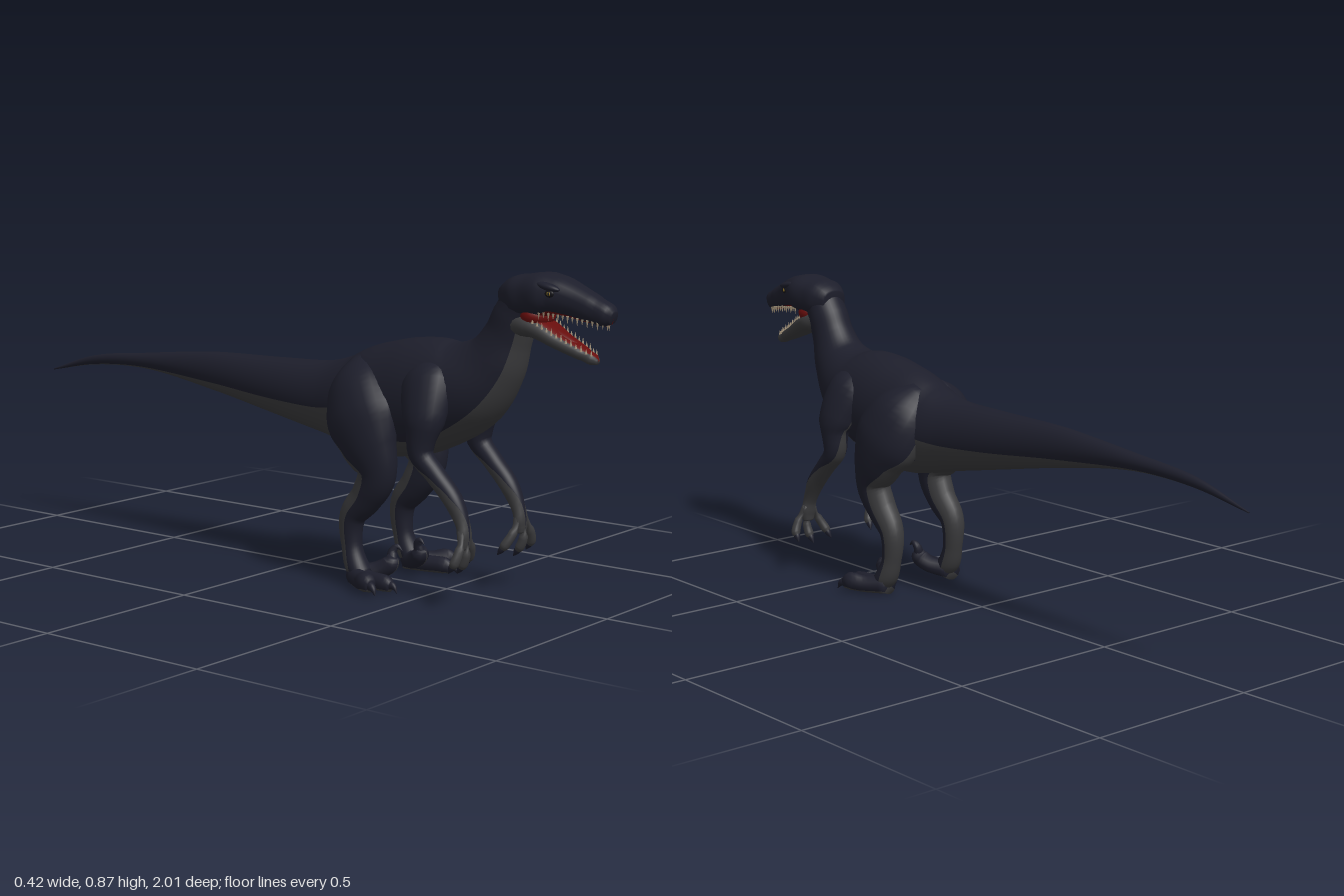
import * as THREE from 'three';

const mat = (name, color) => {
  const m = new THREE.MeshStandardMaterial({ color });
  m.name = name;
  return m;
};

// Smooth tube through rows [x, y, z, halfWidth, halfHeight, patchHalfAngle].
// The patch is a strip of a second colour along the bottom (dir -1) or top (dir 1).
function loft(rows, { steps = 5, dir = -1, power = 1, main = 18, patch = 10 } = {}) {
  const path = new THREE.CatmullRomCurve3(rows.map(r => new THREE.Vector3(r[0], r[1], r[2])));
  const size = new THREE.CatmullRomCurve3(rows.map(r => new THREE.Vector3(r[3], r[4], (r[5] ?? 50) / 100)));
  const n = (rows.length - 1) * steps, cols = main + patch;
  const pos = [], mainIdx = [], patchIdx = [];
  const bend = v => Math.sign(v) * Math.abs(v) ** power;
  for (let i = 0; i <= n; i++) {
    const t = i / n, p = path.getPoint(t), s = size.getPoint(t), T = path.getTangent(t);
    const side = new THREE.Vector3(1, 0, 0).addScaledVector(T, -T.x).normalize();
    const up = T.clone().cross(side);
    const half = THREE.MathUtils.degToRad(THREE.MathUtils.clamp(s.z * 100, 2, 178));
    for (let j = 0; j < cols; j++) {
      const a = dir * Math.PI / 2 + (j <= patch
        ? -half + 2 * half * j / patch
        : half + (2 * Math.PI - 2 * half) * (j - patch) / main);
      const v = p.clone()
        .addScaledVector(side, bend(Math.cos(a)) * Math.max(s.x, 0.001))
        .addScaledVector(up, bend(Math.sin(a)) * Math.max(s.y, 0.001));
      pos.push(v.x, v.y, v.z);
    }
  }
  for (let i = 0; i < n; i++) for (let j = 0; j < cols; j++) {
    const k = (j + 1) % cols, a = i * cols + j, b = i * cols + k, c = b + cols, d = a + cols;
    (j < patch ? patchIdx : mainIdx).push(a, b, c, a, c, d);
  }
  // end caps
  const first = pos.length / 3;
  [path.getPoint(0), path.getPoint(1)].forEach(p => pos.push(p.x, p.y, p.z));
  for (let j = 0; j < cols; j++) {
    const k = (j + 1) % cols, list = j < patch ? patchIdx : mainIdx;
    list.push(first, k, j, first + 1, n * cols + j, n * cols + k);
  }
  const g = new THREE.BufferGeometry();
  g.setAttribute('position', new THREE.Float32BufferAttribute(pos, 3));
  g.setIndex([...mainIdx, ...patchIdx]);
  g.addGroup(0, mainIdx.length, 0);
  g.addGroup(mainIdx.length, patchIdx.length, 1);
  g.computeVertexNormals();
  return g;
}

export function createModel() {
  const model = new THREE.Group();
  const hide = mat('navy hide', 0x1d1e2b), belly = mat('grey underside', 0x3a3a3c);
  const red = mat('mouth red', 0x660d0c), ivory = mat('tooth ivory', 0xa09078);
  const amber = mat('eye amber', 0x8f7424), black = mat('dark socket', 0x131318);

  const add = (name, geo, material, parent = model) => {
    const m = new THREE.Mesh(geo, material);
    m.name = name;
    parent.add(m);
    return m;
  };
  const ball = (name, material, p, s, parent) => {
    const m = add(name, new THREE.SphereGeometry(1, 20, 14), material, parent);
    m.position.set(...p);
    m.scale.set(...s);
    return m;
  };

  // tail, trunk and neck in one sweep
  add('body', loft([
    [0, 0.465, -1, 0.002, 0.002, 20], [0, 0.509, -0.82, 0.012, 0.014, 30],
    [0, 0.525, -0.61, 0.022, 0.023, 42], [0, 0.52, -0.34, 0.042, 0.055, 60],
    [0, 0.498, -0.07, 0.07, 0.083, 72], [0, 0.485, 0.1, 0.088, 0.103, 80],
    [0, 0.485, 0.2, 0.105, 0.127, 86], [0, 0.5, 0.32, 0.12, 0.156, 52],
    [0, 0.528, 0.45, 0.124, 0.154, 42], [0, 0.565, 0.57, 0.11, 0.124, 48],
    [0, 0.628, 0.645, 0.08, 0.09, 48], [0, 0.7, 0.685, 0.061, 0.067, 48],
    [0, 0.755, 0.708, 0.059, 0.061, 50], [0, 0.805, 0.735, 0.057, 0.057, 30],
  ], { steps: 6, main: 26, patch: 16 }), [hide, belly]);

  // head: skull with palate, lower jaw with mouth floor
  const head = new THREE.Group();
  head.name = 'head';
  model.add(head);
  add('skull', loft([
    [0, 0.8, 0.68, 0.04, 0.035, 4], [0, 0.806, 0.71, 0.058, 0.05, 4],
    [0, 0.813, 0.76, 0.068, 0.055, 15], [0, 0.819, 0.83, 0.066, 0.051, 42],
    [0, 0.808, 0.88, 0.052, 0.044, 42], [0, 0.789, 0.94, 0.041, 0.036, 38],
    [0, 0.775, 0.985, 0.031, 0.028, 15], [0, 0.77, 1, 0.016, 0.016, 4],
  ], { power: 0.82 }), [hide, red], head);
  add('lowerJaw', loft([
    [0, 0.74, 0.71, 0.052, 0.034, 10], [0, 0.732, 0.78, 0.057, 0.028, 40],
    [0, 0.7, 0.85, 0.044, 0.021, 44], [0, 0.675, 0.91, 0.03, 0.017, 44],
    [0, 0.661, 0.943, 0.021, 0.014, 30], [0, 0.655, 0.957, 0.008, 0.006, 10],
  ], { dir: 1, power: 0.85 }), [belly, red], head);
  ball('mouthLining', red, [0, 0.762, 0.775], [0.056, 0.034, 0.042], head);
  ball('tongue', red, [0, 0.716, 0.85], [0.02, 0.01, 0.06], head).rotation.x = 0.43;

  // rows of teeth, following a curve along each jaw
  const toothRow = (name, pts, sx, count, length, sign) => {
    const curve = new THREE.CatmullRomCurve3(pts.map(p => new THREE.Vector3(p[0] * sx, p[1], p[2])));
    for (let i = 0; i < count; i++) {
      const l = length * (i % 2 ? 0.8 : 1.1);
      const m = add(name, new THREE.ConeGeometry(0.004, l, 6), ivory, head);
      m.position.copy(curve.getPointAt(i / (count - 1)));
      m.position.y += sign * l * 0.4;
      if (sign < 0) m.rotation.x = Math.PI;
    }
  };

  for (const sx of [1, -1]) {
    const sideName = sx > 0 ? 'left' : 'right';
    const flip = rows => rows.map(r => [r[0] * sx, ...r.slice(1)]);
    const limb = (name, rows, mats, parent, opt) => add(name, loft(flip(rows), opt), mats, parent);
    const small = { steps: 4, main: 8, patch: 6 };

    toothRow('upperTooth', [[0.05, 0.776, 0.81], [0.042, 0.77, 0.88], [0.033, 0.762, 0.94],
      [0.021, 0.756, 0.972], [0.004, 0.755, 0.984]], sx, 15, 0.02, -1);
    toothRow('lowerTooth', [[0.048, 0.747, 0.79], [0.036, 0.713, 0.855], [0.024, 0.687, 0.912],
      [0.013, 0.671, 0.944]], sx, 13, 0.017, 1);

    // eye in its socket, brow and nostril
    ball('eyeSocket', black, [sx * 0.06, 0.826, 0.846], [0.006, 0.01, 0.014], head);
    ball('eye', amber, [sx * 0.0625, 0.826, 0.847], [0.005, 0.006, 0.007], head);
    ball('pupil', black, [sx * 0.0665, 0.826, 0.848], [0.002, 0.005, 0.002], head);
    ball('brow', hide, [sx * 0.055, 0.843, 0.838], [0.015, 0.01, 0.036], head).rotation.x = 0.2;
    ball('nostril', black, [sx * 0.028, 0.789, 0.979], [0.004, 0.003, 0.006], head);

    // hind leg
    const leg = new THREE.Group();
    leg.name = sideName + 'Leg';
    model.add(leg);
    limb('thighAndShin', [
      [0.03, 0.605, 0.23, 0.025, 0.035, 3], [0.066, 0.545, 0.255, 0.07, 0.09, 3],
      [0.1, 0.47, 0.288, 0.074, 0.114, 12], [0.117, 0.395, 0.322, 0.058, 0.09, 38],
      [0.115, 0.315, 0.348, 0.044, 0.058, 70], [0.112, 0.25, 0.315, 0.04, 0.047, 85],
      [0.114, 0.19, 0.267, 0.034, 0.037, 90], [0.115, 0.12, 0.264, 0.029, 0.03, 90],
      [0.118, 0.06, 0.282, 0.033, 0.032, 85], [0.12, 0.028, 0.31, 0.034, 0.027, 50],
    ], [hide, belly], leg);
    limb('middleToe', [[0.118, 0.03, 0.275, 0.027, 0.029], [0.128, 0.025, 0.34, 0.025, 0.024],
      [0.135, 0.025, 0.395, 0.022, 0.023], [0.138, 0.018, 0.415, 0.013, 0.015]], [hide, belly], leg, small);
    limb('outerToe', [[0.125, 0.03, 0.285, 0.027, 0.028], [0.162, 0.028, 0.335, 0.024, 0.025],
      [0.184, 0.033, 0.368, 0.025, 0.027], [0.194, 0.026, 0.39, 0.014, 0.017]], [hide, belly], leg, small);
    limb('innerToe', [[0.11, 0.032, 0.29, 0.025, 0.026, 5], [0.084, 0.042, 0.33, 0.025, 0.025, 5],
      [0.068, 0.062, 0.36, 0.026, 0.025, 5], [0.063, 0.082, 0.368, 0.016, 0.017, 5]], [hide, belly], leg, small);
    limb('middleClaw', [[0.136, 0.024, 0.405, 0.012, 0.014], [0.139, 0.022, 0.425, 0.008, 0.009],
      [0.141, 0.006, 0.437, 0.001, 0.001]], [hide, hide], leg, small);
    limb('outerClaw', [[0.19, 0.03, 0.38, 0.013, 0.015], [0.198, 0.024, 0.4, 0.009, 0.01],
      [0.202, 0.006, 0.412, 0.001, 0.001]], [hide, hide], leg, small);
    limb('sickleClaw', [[0.065, 0.07, 0.363, 0.016, 0.016], [0.057, 0.095, 0.36, 0.012, 0.012],
      [0.052, 0.108, 0.372, 0.008, 0.008], [0.05, 0.098, 0.387, 0.001, 0.001]], [hide, hide], leg, small);

    // arm and three-fingered hand
    const arm = new THREE.Group();
    arm.name = sideName + 'Arm';
    model.add(arm);
    limb('upperArmAndForearm', [
      [0.04, 0.625, 0.475, 0.025, 0.03, 3], [0.082, 0.565, 0.493, 0.058, 0.08, 3],
      [0.127, 0.47, 0.51, 0.046, 0.06, 3], [0.134, 0.39, 0.508, 0.032, 0.035, 35],
      [0.132, 0.34, 0.553, 0.029, 0.027, 80], [0.13, 0.28, 0.608, 0.027, 0.026, 115],
      [0.13, 0.215, 0.642, 0.021, 0.018, 168], [0.132, 0.175, 0.648, 0.024, 0.014, 178],
      [0.132, 0.155, 0.648, 0.018, 0.011, 178],
    ], [hide, belly], arm);
    const fingers = [
      ['outer', [0.142, 0.2, 0.645], [0.163, 0.16, 0.655], [0.178, 0.125, 0.65], [0.181, 0.097, 0.632]],
      ['middle', [0.132, 0.18, 0.648], [0.134, 0.145, 0.655], [0.133, 0.115, 0.645], [0.131, 0.087, 0.625]],
      ['inner', [0.121, 0.2, 0.645], [0.1, 0.16, 0.645], [0.083, 0.125, 0.63], [0.076, 0.097, 0.61]],
    ];
    for (const [name, a, b, c, d] of fingers) {
      limb(name + 'Finger', [[...a, 0.012, 0.012], [...b, 0.012, 0.012],
        [...c, 0.014, 0.013], [...c.map((v, i) => v + (d[i] - v) * 0.4), 0.009, 0.009]],
      [belly, belly], arm, small);
      limb(name + 'FingerClaw', [[...c, 0.011, 0.011], [...c.map((v, i) => v + (d[i] - v) * 0.5), 0.009, 0.009],
        [...d, 0.001, 0.001]], [hide, hide], arm, small);
    }
  }
  return model;
}
